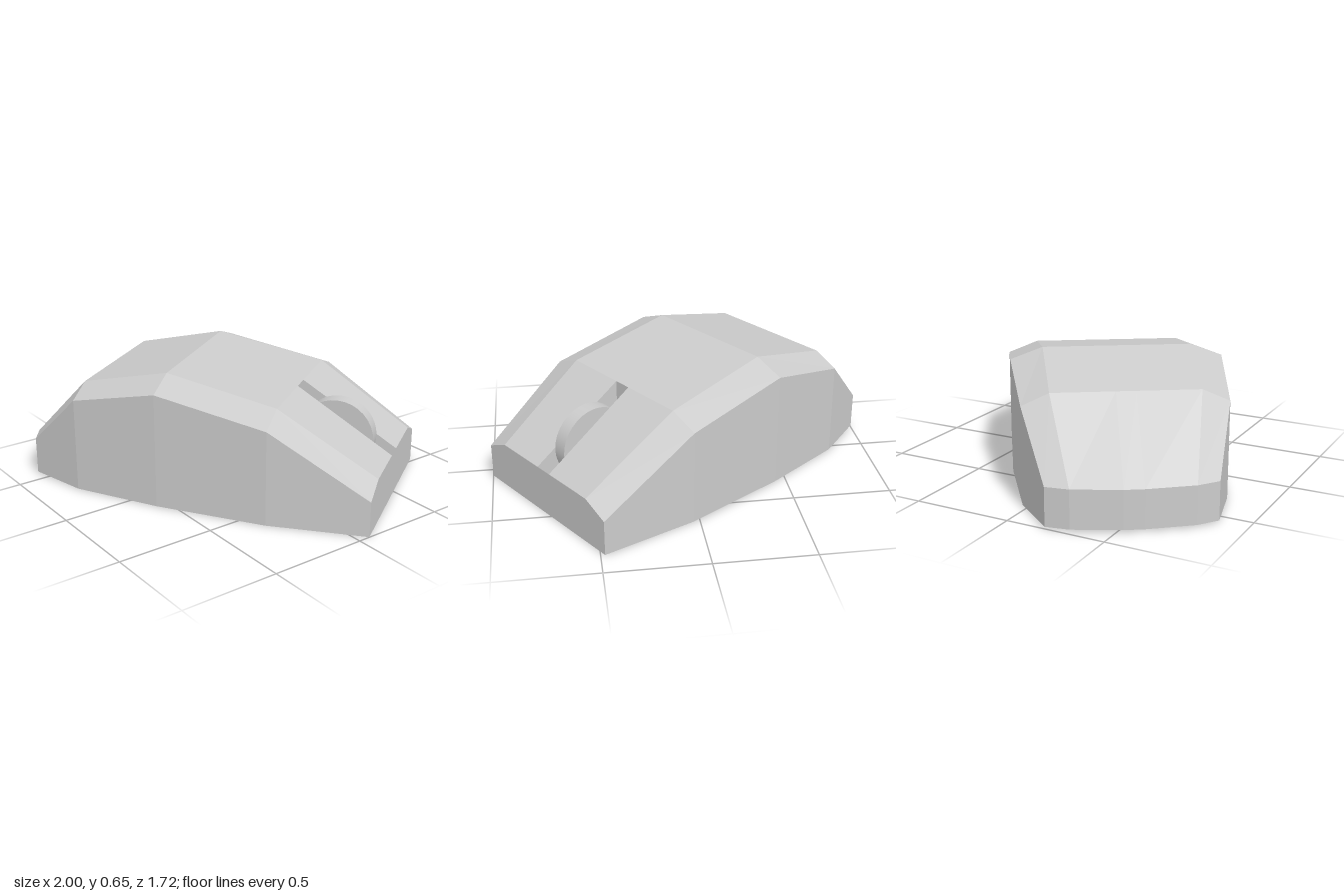
import * as THREE from 'three';

// Stations from the button end to the rear: z, outer half width, outer height, inner half width, inner height
const STATIONS = [
  [0.871, 0.477, 0.18, 0.34, 0.24],
  [0.376, 0.538, 0.485, 0.385, 0.545],
  [-0.197, 0.531, 0.59, 0.37, 0.65],
  [-0.658, 0.488, 0.485, 0.355, 0.545],
];
const SLOT = 0.048; // half width of the wheel slot
const FLOOR = 0.1; // height of the slot floor

// Collects four-cornered faces into one faceted geometry
function faceBuilder() {
  const pos = [];
  return {
    quad(a, b, c, d, flip = false) {
      const q = flip ? [d, c, b, a] : [a, b, c, d];
      for (const i of [0, 1, 2, 0, 2, 3]) pos.push(...q[i]);
    },
    build() {
      const g = new THREE.BufferGeometry();
      g.setAttribute('position', new THREE.Float32BufferAttribute(pos, 3));
      g.computeVertexNormals();
      return g;
    },
  };
}

const material = () => new THREE.MeshStandardMaterial({ color: 0xcccccc, flatShading: true });

// Six points across the top of each station, ending with the bowed rear
function topRows() {
  const rows = STATIONS.map(([z, wo, ho, wi, hi]) => [
    [-wo, ho, z], [-wi, hi, z], [-SLOT, hi, z], [SLOT, hi, z], [wi, hi, z], [wo, ho, z],
  ]);
  rows.push([
    [-0.394, 0.2, -0.947], [-0.285, 0.2, -0.989], [-SLOT, 0.2, -1.015],
    [SLOT, 0.2, -1.015], [0.285, 0.2, -0.989], [0.394, 0.2, -0.947],
  ]);
  return rows;
}

function makeShell(top) {
  const f = faceBuilder();
  const last = top.length - 1;
  const bottom = top.map((row, s) => row.map(([x, , z]) => [x, s === last ? 0.01 : 0, z]));
  for (let s = 0; s < last; s++) {
    for (let c = 0; c < 5; c++) {
      // leave the slot open between the buttons
      if (!(s === 0 && c === 2)) f.quad(top[s][c], top[s][c + 1], top[s + 1][c + 1], top[s + 1][c]);
      f.quad(bottom[s][c], bottom[s][c + 1], bottom[s + 1][c + 1], bottom[s + 1][c], true);
    }
    for (const c of [0, 5]) f.quad(bottom[s][c], bottom[s + 1][c], top[s + 1][c], top[s][c], c === 0);
  }
  // button end and rear walls
  for (const s of [0, last]) {
    for (let c = 0; c < 5; c++) f.quad(bottom[s][c], bottom[s][c + 1], top[s][c + 1], top[s][c], s === last);
  }
  return f.build();
}

function makeSlot(top) {
  const f = faceBuilder();
  const [a, b, c, d] = [top[0][2], top[0][3], top[1][3], top[1][2]];
  const [fa, fb, fc, fd] = [a, b, c, d].map(([x, , z]) => [x, FLOOR, z]);
  f.quad(fa, fb, fc, fd); // floor
  f.quad(fa, fd, d, a); // side walls
  f.quad(fb, fc, c, b, true);
  f.quad(fd, fc, c, d); // end walls
  f.quad(fa, fb, b, a, true);
  return f.build();
}

export function createModel() {
  const model = new THREE.Group();
  model.name = 'computerMouse';
  const top = topRows();

  const add = (name, geometry, mat = material()) => {
    const mesh = new THREE.Mesh(geometry, mat);
    mesh.name = name;
    model.add(mesh);
    return mesh;
  };
  add('shell', makeShell(top));
  add('wheelSlot', makeSlot(top));

  // scroll wheel, smooth around its rim
  const wheel = add('scrollWheel', new THREE.CylinderGeometry(0.19, 0.19, 0.074, 32),
    new THREE.MeshStandardMaterial({ color: 0xcccccc }));
  wheel.rotation.z = Math.PI / 2;
  wheel.position.set(0, 0.3, 0.58);

  // the mouse lies turned on the ground
  model.rotation.y = Math.PI - Math.atan2(0.838, 0.545);
  model.position.set(0.009, 0, 0.013);
  const root = new THREE.Group();
  root.name = 'model';
  root.add(model);
  return root;
}
